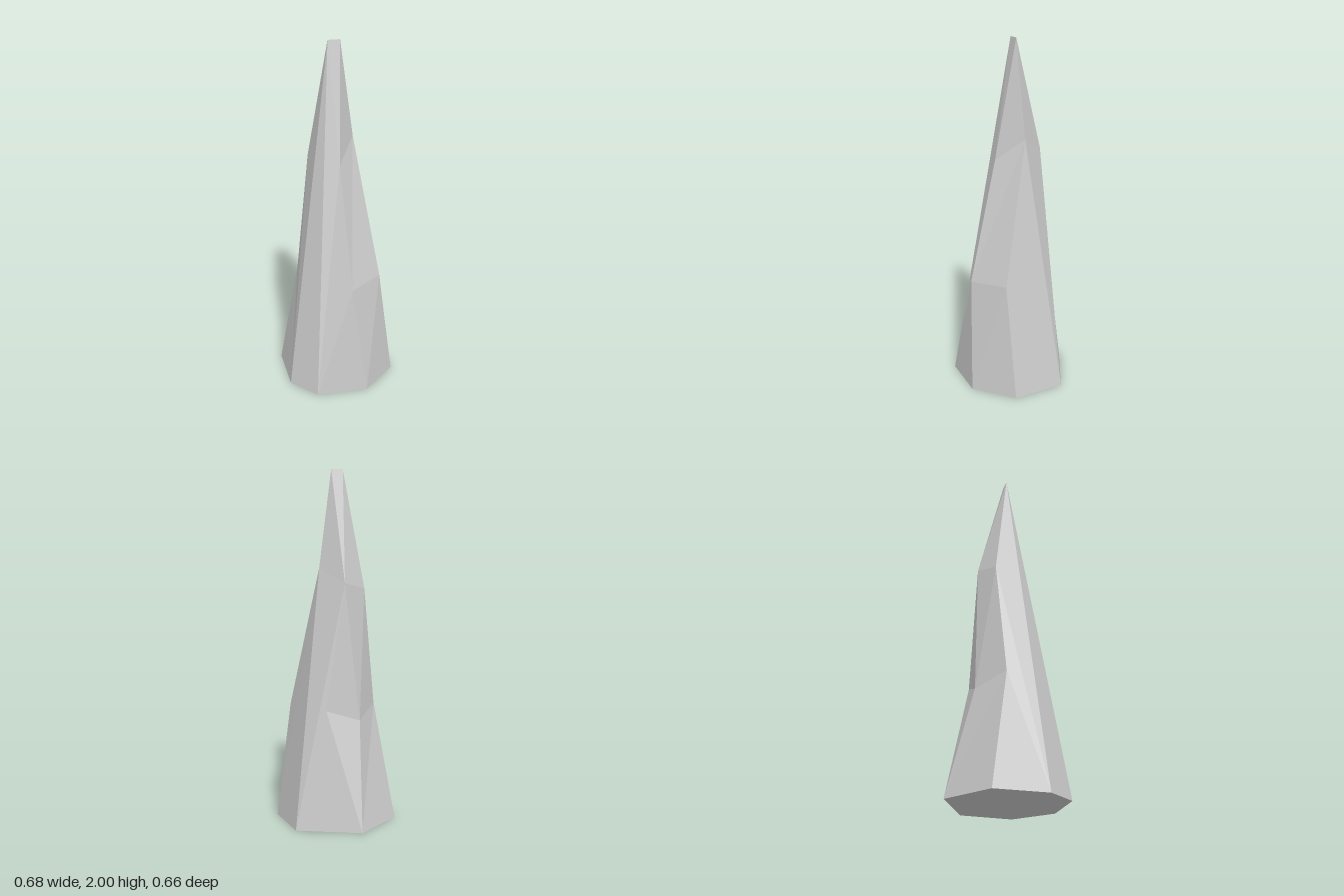
import * as THREE from 'three';

// Corners of the faceted shard, by level
const corners = {
  // seven-sided foot, clockwise from above, starting back left
  b0: [-0.235, 0, -0.26], b1: [0.085, 0, -0.333], b2: [0.34, 0, -0.06], b3: [0.252, 0, 0.228],
  b4: [-0.003, 0, 0.332], b5: [-0.276, 0, 0.222], b6: [-0.342, 0, 0.028],
  // lower break: two in front, three behind
  lowFrontL: [-0.067, 0.64, 0.268], lowFrontR: [0.16, 0.655, 0.213],
  lowSide: [0.175, 0.67, -0.13], lowBackR: [-0.003, 0.605, -0.21], lowBackL: [-0.183, 0.67, -0.13],
  // upper break
  upFrontL: [-0.04, 1.33, 0.098], upFrontR: [0.108, 1.455, 0.01],
  upBackR: [0.063, 1.375, -0.157], upBackL: [-0.095, 1.34, -0.142],
  // chisel tip
  tipL: [-0.037, 2, -0.023], tipR: [0.028, 2, 0],
};

// Facets, counterclockwise from outside
const facets = [
  'b0 b1 b2 b3 b4 b5 b6', // underside
  // front
  'b4 b3 lowFrontR lowFrontL', 'lowFrontL lowFrontR upFrontR upFrontL', 'upFrontL upFrontR tipR',
  // right
  'b3 b2 upFrontR lowFrontR', 'b2 upBackR upFrontR', 'b2 lowSide upBackR', 'upFrontR upBackR tipR',
  // notch at the back right
  'b2 b1 lowSide', 'b1 lowBackR lowSide', 'lowSide lowBackR upBackR',
  // back
  'b1 b0 lowBackL lowBackR', 'lowBackR lowBackL upBackL', 'lowBackR upBackL upBackR',
  'upBackR upBackL tipL tipR',
  // left
  'b0 b6 lowBackL', 'lowBackL b6 upBackL', 'upBackL b6 tipL', 'b6 b5 tipL',
  'b5 b4 lowFrontL', 'b5 lowFrontL upFrontL', 'b5 upFrontL tipL', 'tipL upFrontL tipR',
];

export function createModel() {
  // Fan each facet into triangles with unshared corners for crisp edges
  const positions = [];
  for (const facet of facets) {
    const p = facet.split(' ').map((name) => corners[name]);
    for (let i = 1; i < p.length - 1; i++) positions.push(...p[0], ...p[i], ...p[i + 1]);
  }
  const geometry = new THREE.BufferGeometry();
  geometry.setAttribute('position', new THREE.Float32BufferAttribute(positions, 3));
  geometry.computeVertexNormals();

  const shard = new THREE.Mesh(
    geometry,
    new THREE.MeshStandardMaterial({ color: 0xcccccc, flatShading: true }),
  );
  shard.name = 'rockSpike';

  const group = new THREE.Group();
  group.name = 'spike';
  group.add(shard);
  return group;
}
